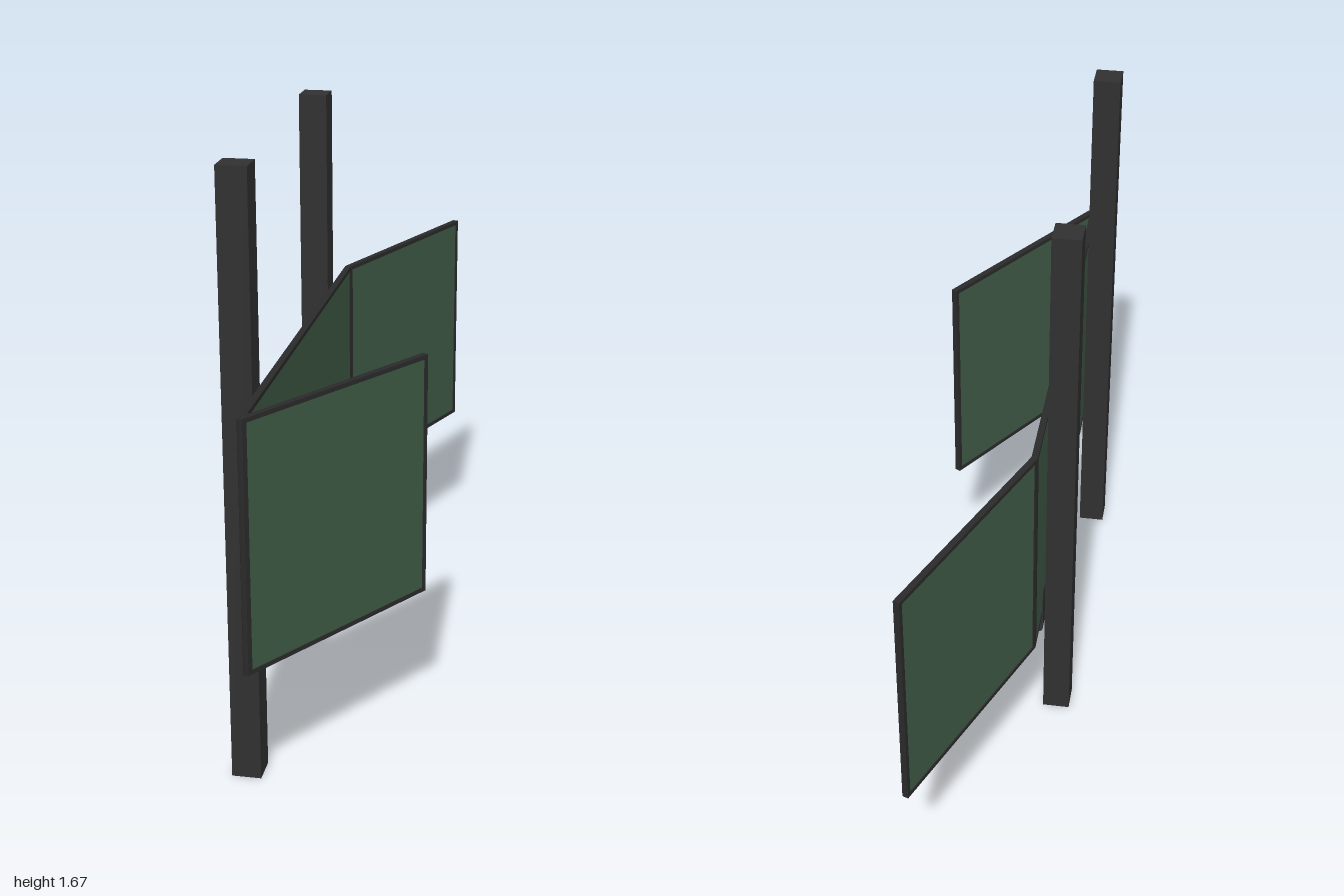
import * as THREE from 'three';

const material = (color) => new THREE.MeshStandardMaterial({ color, flatShading: true });
const green = material(0x3f5b46);
const black = material(0x2a2a2b);
const iron = material(0x303031);
const wood = material(0xb5a565);
const felt = material(0x4a4530);

const BOTTOM = 0.405, TOP = 1.095, TRIM = 0.012, DEPTH = 0.018;

function box(name, mat, w, h, d, x, y, z) {
  const mesh = new THREE.Mesh(new THREE.BoxGeometry(w, h, d), mat);
  mesh.name = name;
  mesh.position.set(x, y, z);
  return mesh;
}

// Framed writing panel standing between two points of the floor plan
function panel(name, [x0, z0], [x1, z1]) {
  const group = new THREE.Group();
  group.name = name;
  const length = Math.hypot(x1 - x0, z1 - z0);
  const height = TOP - BOTTOM;
  group.add(box('writingSurface', green, length - TRIM, height - TRIM, DEPTH * 0.7, 0, 0, 0));
  for (const s of [-1, 1]) {
    group.add(box('frameRail', black, length, TRIM, DEPTH, 0, s * (height - TRIM) / 2, 0));
    group.add(box('frameStile', black, TRIM, height - 2 * TRIM, DEPTH, s * (length - TRIM) / 2, 0, 0));
  }
  group.position.set((x0 + x1) / 2, (TOP + BOTTOM) / 2, (z0 + z1) / 2);
  group.rotation.y = Math.atan2(z0 - z1, x1 - x0);
  return group;
}

// Thin curved tray, open at both ends, with a tall plate behind the board
function chalkTray() {
  const shape = new THREE.Shape();
  shape.moveTo(-0.155, 0.5);
  shape.lineTo(-0.155, 0.36);
  shape.quadraticCurveTo(-0.155, 0.343, -0.138, 0.343);
  shape.lineTo(-0.078, 0.343);
  shape.quadraticCurveTo(-0.06, 0.343, -0.06, 0.36);
  shape.lineTo(-0.06, 0.385);
  shape.lineTo(-0.063, 0.385);
  shape.lineTo(-0.063, 0.36);
  shape.quadraticCurveTo(-0.063, 0.346, -0.078, 0.346);
  shape.lineTo(-0.138, 0.346);
  shape.quadraticCurveTo(-0.152, 0.346, -0.152, 0.36);
  shape.lineTo(-0.152, 0.5);
  shape.closePath();
  const geometry = new THREE.ExtrudeGeometry(shape, { depth: 0.1, bevelEnabled: false, curveSegments: 5 });
  const mesh = new THREE.Mesh(geometry, iron);
  mesh.name = 'chalkTray';
  mesh.position.z = -0.235;
  return mesh;
}

// Eraser lying slightly askew in the tray
function eraser() {
  const group = new THREE.Group();
  group.name = 'eraser';
  group.add(box('eraserFelt', felt, 0.054, 0.006, 0.07, 0, 0.003, 0));
  group.add(box('eraserBody', wood, 0.058, 0.022, 0.075, 0, 0.017, 0));
  group.add(box('eraserGrip', wood, 0.046, 0.01, 0.075, 0, 0.033, 0));
  group.position.set(-0.102, 0.346, -0.19);
  group.rotation.y = -0.2;
  return group;
}

export function createModel() {
  const model = new THREE.Group();
  model.name = 'foldingChalkboard';

  // Square posts behind the board
  for (const z of [0.78, -0.155])
    model.add(box('post', iron, 0.08, 1.67, 0.08, -0.195, 0.835, z));

  // Fixed middle board and its two hinged wings
  const leftHinge = [-0.143, 0.99], rightHinge = [-0.143, -0.37];
  model.add(panel('middleBoard', leftHinge, rightHinge));
  model.add(panel('frontWing', leftHinge, [0.22, 0.427]));
  model.add(panel('backWing', rightHinge, [0.107, -0.996]));

  // Hinge barrels
  for (const [x, z] of [leftHinge, rightHinge]) {
    const hinge = new THREE.Mesh(new THREE.CylinderGeometry(0.009, 0.009, TOP - BOTTOM, 8), black);
    hinge.name = 'hinge';
    hinge.position.set(x, (TOP + BOTTOM) / 2, z);
    model.add(hinge);
  }

  model.add(chalkTray(), eraser());
  return model;
}
